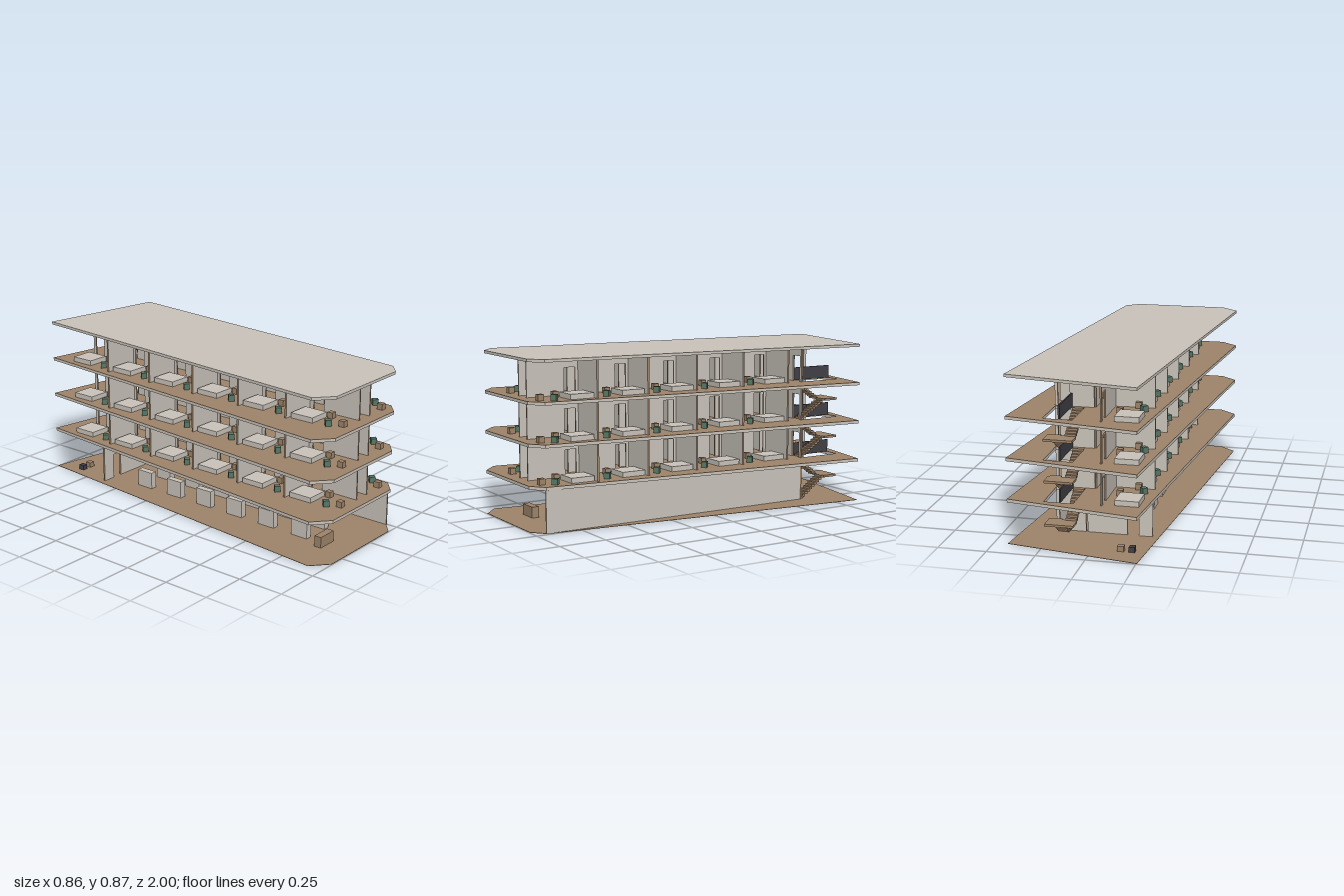
import * as THREE from 'three';

const mat = (name, color) => {
  const m = new THREE.MeshStandardMaterial({ color });
  m.name = name;
  return m;
};

export function createModel() {
  const plaster = mat('plaster', 0xc9c3ba);
  const wood = mat('wood', 0x9e846a);
  const green = mat('green', 0x557766);
  const dark = mat('dark', 0x404046);

  const model = new THREE.Group();
  model.name = 'building';

  const add = (parent, name, geo, material) => {
    const m = new THREE.Mesh(geo, material);
    m.name = name;
    parent.add(m);
    return m;
  };
  // Box given by its ranges on each axis
  const box = (parent, name, material, x0, x1, y0, y1, z0, z1) => {
    const m = add(parent, name, new THREE.BoxGeometry(x1 - x0, y1 - y0, z1 - z0), material);
    m.position.set((x0 + x1) / 2, (y0 + y1) / 2, (z0 + z1) / 2);
    return m;
  };

  // Wall with door notches, plaster faces and wooden edges; runs along x
  const DOOR = 0.14;
  const wallGeo = (a, b, h, t, doors) => {
    const s = new THREE.Shape();
    s.moveTo(a, 0);
    for (const [d0, d1] of doors) {
      s.lineTo(d0, 0);
      s.lineTo(d0, DOOR);
      s.lineTo(d1, DOOR);
      s.lineTo(d1, 0);
    }
    s.lineTo(b, 0);
    s.lineTo(b, h);
    s.lineTo(a, h);
    return new THREE.ExtrudeGeometry(s, { depth: t, bevelEnabled: false });
  };
  const crossWall = (parent, name, x0, x1, y, h, z, doors = []) => {
    const m = add(parent, name, wallGeo(x0, x1, h, 0.01, doors), [plaster, wood]);
    m.position.set(0, y, z - 0.005);
  };
  // The same wall turned to run along z, from zFront back to zBack
  const longWall = (parent, name, x, y, h, zFront, zBack, doorCentres = []) => {
    const doors = doorCentres.map((z) => [-z - 0.032, -z + 0.032]);
    const geo = wallGeo(-zFront, -zBack, h, 0.008, doors).rotateY(Math.PI / 2);
    add(parent, name, geo, [plaster, wood]).position.set(x - 0.004, y, 0);
  };

  // Skewed plan with chamfered front corners
  const outline = [[-0.255, -1], [0.427, -0.88], [0.243, 0.94], [0.172, 1], [-0.34, 1], [-0.43, 0.92]];
  const plate = (name, material, y0, y1, stairHole) => {
    const s = new THREE.Shape(outline.map(([x, z]) => new THREE.Vector2(x, -z)));
    if (stairHole) {
      const hole = [[0.09, 0.64], [0.24, 0.64], [0.24, 0.875], [0.09, 0.875]];
      s.holes.push(new THREE.Path(hole.map(([x, y]) => new THREE.Vector2(x, y))));
    }
    const geo = new THREE.ExtrudeGeometry(s, { depth: y1 - y0, bevelEnabled: false }).rotateX(-Math.PI / 2);
    add(model, name, geo, material).position.y = y0;
  };

  const floors = [0, 0.235, 0.447, 0.658];
  const ceilings = [0.218, 0.43, 0.642, 0.853];
  plate('groundFloor', wood, 0, 0.002, false);
  for (let i = 1; i < 4; i++) {
    plate('floorSlab', plaster, ceilings[i - 1], floors[i] - 0.002, true);
    plate('floorCovering', wood, floors[i] - 0.002, floors[i], true);
  }
  plate('roof', plaster, 0.853, 0.868, false);

  // Furniture of one room whose front edge is at z; side is +1 or -1
  const furnish = (parent, side, y, z) => {
    const g = new THREE.Group();
    g.name = 'roomFurniture';
    const put = (name, material, xa, xb, h, za, zb) =>
      box(g, name, material, Math.min(xa * side, xb * side), Math.max(xa * side, xb * side), 0, h, za, zb);
    const off = side < 0 ? 0.012 : 0;
    const shift = (x) => x + off;
    put('bed', plaster, shift(0.1), shift(0.222), 0.027, -0.285, -0.155);
    put('nightstand', wood, shift(0.078), shift(0.108), 0.031, -0.145, -0.115);
    put('table', wood, shift(0.148), shift(0.178), 0.031, -0.03, 0.002);
    const chair = put('chair', green, shift(0.186), shift(0.216), 0.031, -0.09, -0.06);
    chair.rotation.y = Math.PI / 4;
    g.position.set(0, y, z);
    parent.add(g);
  };

  // Upper storeys: corridor, partitions and rooms
  const F = 0.943, RP = 0.295, LP = 0.303;
  for (let f = 1; f < 4; f++) {
    const y = floors[f], h = ceilings[f] - y;
    const g = new THREE.Group();
    g.name = 'upperStorey';
    const rows = (n, pitch, first) => Array.from({ length: n }, (_, i) => first - i * pitch);
    longWall(g, 'leftCorridorWall', 0.039, y, h, F, -0.62, rows(5, RP, 0.7));
    longWall(g, 'rightCorridorWall', -0.051, y, h, F, -0.875, rows(6, 0.305, 0.7));
    for (let i = 0; i < 5; i++) {
      crossWall(g, 'leftPartition', 0.043, 0.245, y, h, F - RP * (i + 1));
      furnish(g, 1, y, F - RP * i);
    }
    for (let i = 0; i < 6; i++) {
      if (i < 5) crossWall(g, 'rightPartition', -0.255, -0.055, y, h, F - LP * (i + 1));
      furnish(g, -1, y, F - LP * i);
    }
    crossWall(g, 'stairWall', 0.043, 0.245, y, h, -0.625, [[0.168, 0.23]]);
    box(g, 'stairGuard', dark, 0.153, 0.161, y, y + 0.07, -0.875, -0.635);
    model.add(g);
  }

  // Ground storey
  const ground = new THREE.Group();
  ground.name = 'groundStorey';
  longWall(ground, 'sideWall', 0.241, 0, 0.218, F, -0.62);
  crossWall(ground, 'backWall', -0.255, 0.082, 0, 0.218, -0.625, [[-0.184, -0.125]]);
  crossWall(ground, 'stairWall', 0.09, 0.245, 0, 0.218, -0.625, [[0.168, 0.229]]);
  box(ground, 'stairPost', wood, 0.148, 0.155, 0, 0.218, -0.618, -0.6);
  box(ground, 'receptionDesk', wood, -0.222, -0.11, 0, 0.06, 0.81, 0.85);
  for (let i = 0; i < 6; i++) {
    const z = 0.68 - i * 0.213;
    for (const x of [-0.159, -0.003]) {
      box(ground, 'cabinet', plaster, x - 0.018, x + 0.018, -0.0005, 0.094, z - 0.05, z + 0.05);
    }
  }
  box(ground, 'gardenTable', wood, -0.16, -0.127, 0, 0.029, -0.865, -0.832);
  box(ground, 'gardenStool', dark, -0.215, -0.185, -0.0005, 0.029, -0.865, -0.832);
  model.add(ground);

  // Two-flight stairs with a landing, one set per storey climbed
  const N = 10, GO = 0.016;
  for (let f = 0; f < 3; f++) {
    const g = new THREE.Group();
    g.name = 'stairs';
    const y = floors[f], half = (floors[f + 1] - y) / 2, r = half / N;
    for (let i = 0; i < N; i++) {
      const z = -0.635 - i * GO, top = y + (i + 1) * r;
      box(g, 'lowerStep', wood, 0.172, 0.229, top - r * 1.15, top, z - GO - 0.004, z);
      const up = y + half + (N - i) * r;
      box(g, 'upperStep', wood, 0.093, 0.15, up - r * 1.15, up, z - GO - 0.004, z);
    }
    box(g, 'landing', wood, 0.093, 0.239, y + half - 0.012, y + half, -0.875, -0.793);
    model.add(g);
  }
  return model;
}
